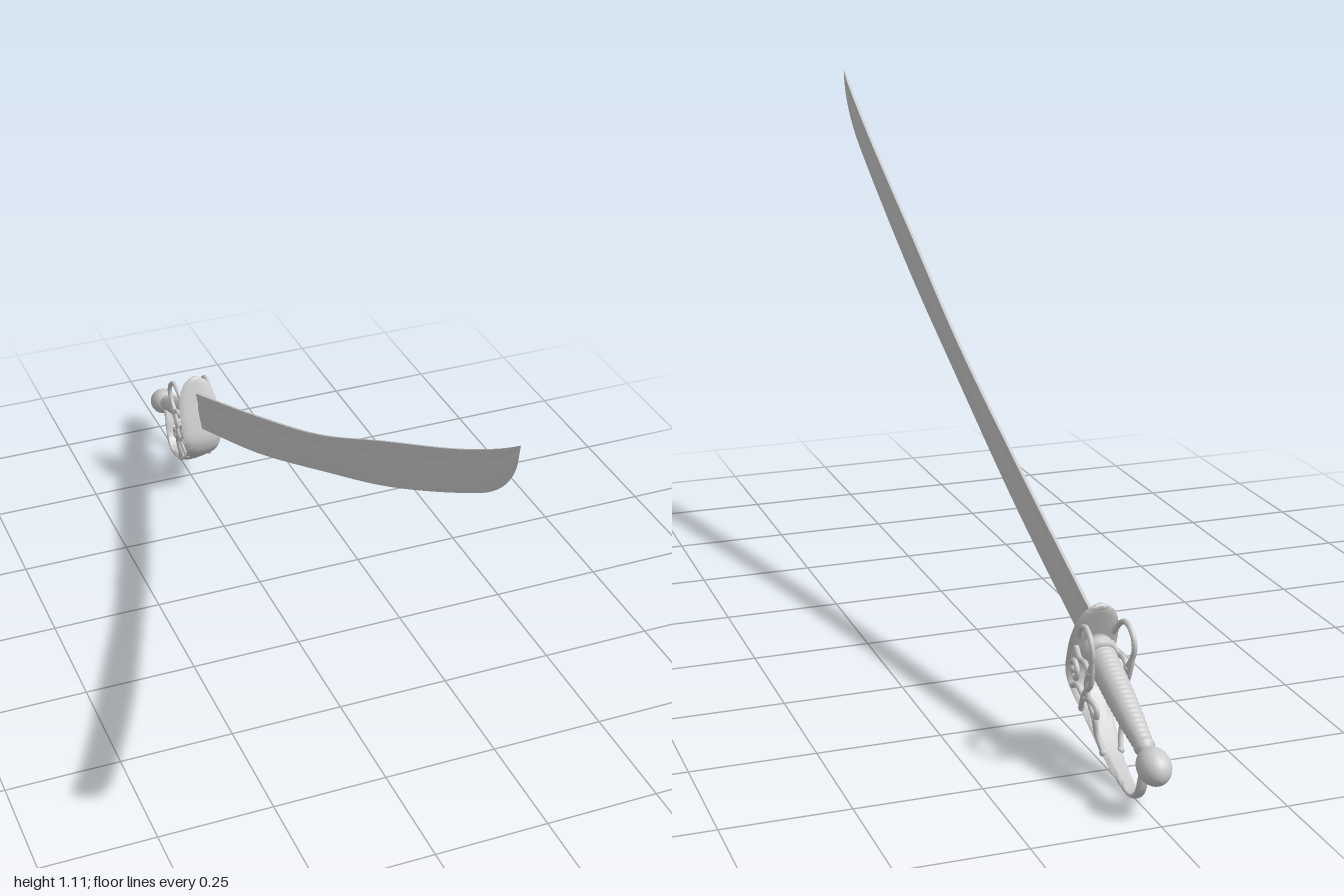
import * as THREE from 'three';
import { toCreasedNormals } from 'three/addons/utils/BufferGeometryUtils.js';

const mat = new THREE.MeshStandardMaterial({ color: 0xcccccc });
// point given as (z, y) in the sword's plane, x sideways
const P = (z, y, x = 0) => new THREE.Vector3(x, y, z);
const curveOf = pts => new THREE.CatmullRomCurve3(pts.map(p => P(...p)), false, 'centripetal');

function part(name, geo) {
  const m = new THREE.Mesh(geo, mat);
  m.name = name;
  return m;
}

// Skin a stack of rings (each counter-clockwise about the travel direction), capped at both ends
function loft(rings, crease) {
  const n = rings[0].length, pos = [], idx = [];
  rings.forEach(r => r.forEach(p => pos.push(p.x, p.y, p.z)));
  for (let i = 0; i < rings.length - 1; i++)
    for (let j = 0; j < n; j++) {
      const k = (j + 1) % n, a = i * n + j, b = i * n + k;
      idx.push(a, b, b + n, a, b + n, a + n);
    }
  const last = (rings.length - 1) * n;
  for (let j = 1; j < n - 1; j++) idx.push(0, j + 1, j, last, last + j, last + j + 1);
  const g = new THREE.BufferGeometry();
  g.setAttribute('position', new THREE.Float32BufferAttribute(pos, 3));
  g.setIndex(idx);
  return toCreasedNormals(g, crease);
}

// Curved blade: sections span from cutting edge to spine, with a shallow fuller
function blade() {
  const spine = curveOf([[-.69, .275], [-.286, .443], [.115, .621], [.436, .792], [.757, .962],
    [.9, 1.045], [.96, 1.083], [.985, 1.1], [1, 1.11]]);
  const edge = curveOf([[-.652, .195], [-.25, .36], [.15, .55], [.474, .71], [.8, .895],
    [.91, .966], [.962, 1.015], [.99, 1.06], [.999, 1.105]]);
  const side = [[.3, .0025], [.55, .0032], [.66, .002], [.8, .002], [.9, .0035], [1, .003]];
  const outline = [[0, 0], ...side, ...side.map(([t, x]) => [t, -x]).reverse()];
  const rings = [];
  for (let i = 0; i <= 48; i++) {
    const s = spine.getPoint(i / 48), e = edge.getPoint(i / 48);
    const k = Math.min(1, .15 + s.distanceTo(e) / .08);
    rings.push(outline.map(([t, x]) => e.clone().lerp(s, t).setX(x * k)));
  }
  return loft(rings, .3);
}

// Shell plate that narrows into the knuckle bow; the third number is the half-width
function guard() {
  const path = curveOf([[-.7, .317, .003], [-.697, .309, .022], [-.69, .29, .038], [-.677, .255, .048],
    [-.66, .21, .05], [-.647, .165, .047], [-.655, .133, .04], [-.69, .1, .031], [-.767, .045, .021],
    [-.84, .014, .015], [-.88, .009, .012], [-.903, .028, .011], [-.918, .07, .01], [-.937, .11, .008]]);
  const rings = [];
  for (let i = 0; i <= 60; i++) {
    const c = path.getPoint(i / 60), w = c.x;
    const t = path.getTangent(i / 60).setX(0).normalize();
    const n = t.clone().cross(new THREE.Vector3(1, 0, 0));
    c.x = 0;
    const ring = [];
    for (let j = 0; j < 16; j++) {
      const a = j / 16 * Math.PI * 2;
      const q = c.clone().addScaledVector(n, Math.sin(a) * .006);
      q.x = w * Math.cos(a);
      ring.push(q);
    }
    rings.push(ring);
  }
  return loft(rings, 1);
}

// Open scrollwork: bars on one side, [z, y, x]
const scrolls = {
  fingerRing: [[-.685, .25, .034], [-.706, .277, .04], [-.733, .286, .041], [-.76, .27, .042],
    [-.768, .245, .042], [-.758, .22, .04], [-.742, .2, .038]],
  longBranch: [[-.742, .2, .038], [-.728, .172, .037], [-.736, .14, .034], [-.752, .11, .03],
    [-.752, .08, .025], [-.768, .047, .018]],
  crossBranch: [[-.765, .235, .041], [-.75, .18, .037], [-.718, .15, .036], [-.7, .125, .034], [-.685, .105, .028]],
  plateScroll: [[-.655, .19, .04], [-.676, .198, .04], [-.69, .182, .04], [-.681, .165, .039],
    [-.668, .17, .039], [-.67, .18, .039]],
  lowerScroll: [[-.655, .14, .036], [-.685, .152, .037], [-.715, .138, .035], [-.742, .145, .035],
    [-.766, .136, .032], [-.765, .118, .031], [-.75, .122, .031]],
  gripBar: [[-.672, .225, .036], [-.7, .212, .039], [-.725, .213, .039], [-.745, .2, .038]],
};

function scrollwork(sign) {
  const g = new THREE.Group();
  g.name = sign > 0 ? 'leftScrollwork' : 'rightScrollwork';
  for (const [name, pts] of Object.entries(scrolls)) {
    const path = curveOf(pts.map(([z, y, x]) => [z, y, x * sign]));
    g.add(part(name, new THREE.TubeGeometry(path, 28, .0055, 8)));
    const bead = part('scrollBead', new THREE.SphereGeometry(.0075, 10, 8));
    bead.position.copy(path.getPoint(1));
    g.add(bead);
  }
  return g;
}

// Ribbed grip, collar and pommel turned about one axis
function hilt() {
  const g = new THREE.Group();
  g.name = 'hilt';
  const lathe = pts => new THREE.LatheGeometry(pts.map(p => new THREE.Vector2(...p)), 24);
  const grip = [];
  for (let i = 0; i <= 80; i++) {
    const t = i / 80;
    const r = .029 - .0105 * t + .003 * Math.sin(Math.PI * t);
    grip.push([r + .0008 * Math.cos(t * Math.PI * 40), .02 + t * .225]);
  }
  g.add(part('grip', lathe([...grip, [0, .245]])));
  g.add(part('collar', lathe([[0, -.012], [.03, -.012], [.033, 0], [.033, .012], [.03, .022], [0, .022]])));
  const pommel = [[.017, .24], [.02, .245], [.02, .251], [.015, .256]];
  for (let i = 0; i <= 14; i++) {
    const a = .45 + (Math.PI - .45) * i / 14;
    pommel.push([Math.max(0, .032 * Math.sin(a)), .296 - .039 * Math.cos(a)]);
  }
  g.add(part('pommel', lathe(pommel)));
  g.position.set(0, .222, -.69);
  g.quaternion.setFromUnitVectors(new THREE.Vector3(0, 1, 0), P(-.914, -.405).normalize());
  return g;
}

export function createModel() {
  const sword = new THREE.Group();
  sword.name = 'sabre';
  sword.add(part('blade', blade()), part('guardAndKnuckleBow', guard()), hilt(), scrollwork(1), scrollwork(-1));
  return sword;
}
